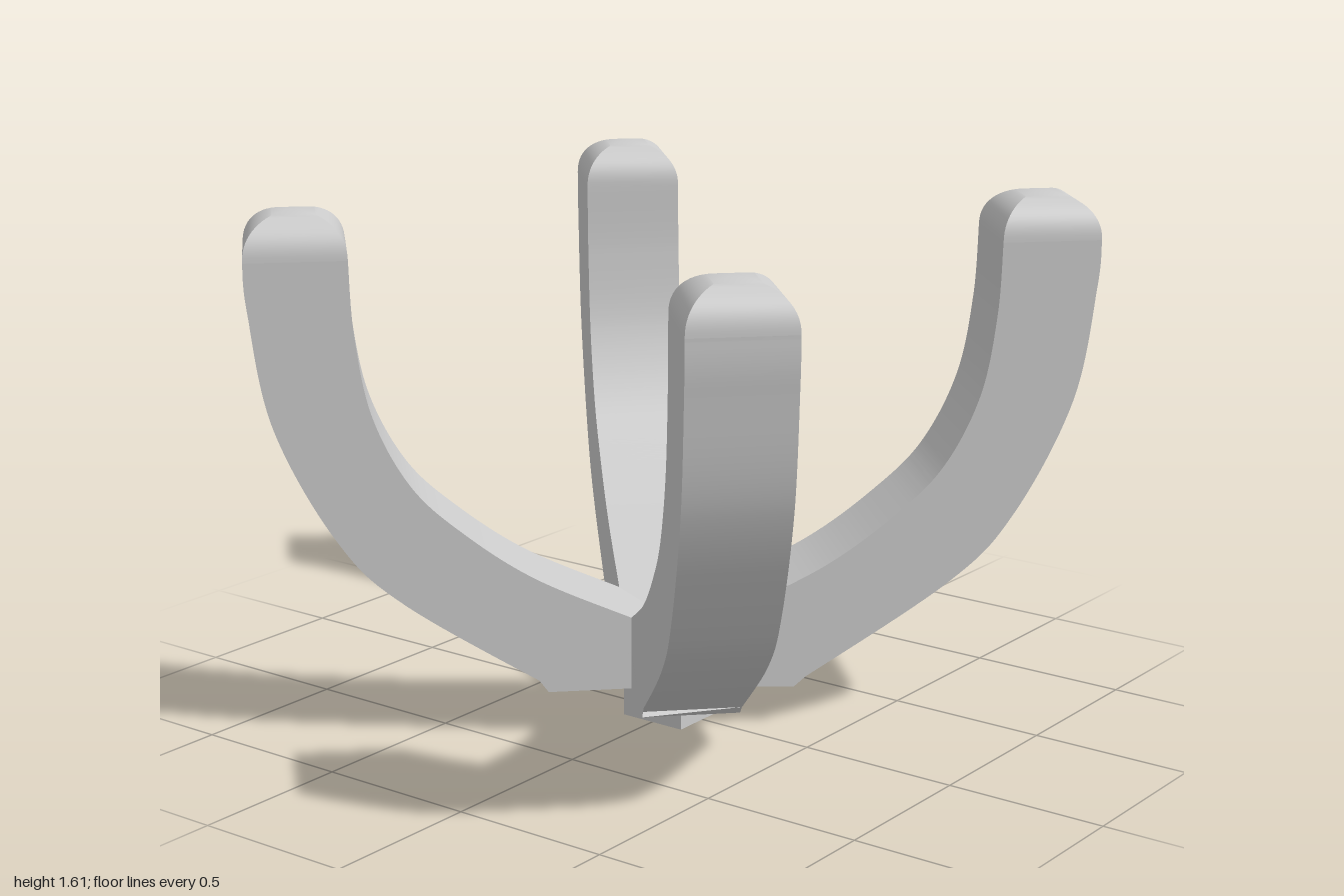
import * as THREE from 'three';
import { toCreasedNormals } from 'three/addons/utils/BufferGeometryUtils.js';

const WIDTH = 0.3;      // side of the square arm section
const REACH = 1.113;    // distance of a tip's axis from the centre
const SHOULDER = 1.48;  // height where the rounded tips begin

const vec = ([x, y]) => new THREE.Vector2(x, y);

// Side profile of one arm: distance from centre, height
function armGeometry(angle) {
  const shape = new THREE.Shape();
  shape.moveTo(0, 0.145);
  shape.lineTo(0.352, 0.13);
  shape.splineThru([[0.819, 0.43], [1.02, 0.64], [1.194, 0.99], [1.255, 1.34], [REACH + WIDTH / 2, SHOULDER]].map(vec));
  shape.lineTo(REACH - WIDTH / 2, SHOULDER);
  shape.splineThru([[0.952, 1.26], [0.907, 1.015], [0.8, 0.8], [0.649, 0.65], [0.437, 0.5], [0.15, 0.365], [0, 0.3]].map(vec));

  const geo = new THREE.ExtrudeGeometry(shape, { depth: WIDTH, bevelEnabled: false, curveSegments: 30 });
  geo.translate(0, 0, -WIDTH / 2);
  geo.rotateY(angle);

  // Slant the underside: lower toward the sides, higher toward front and back
  const p = geo.attributes.position;
  for (let i = 0; i < p.count; i++) {
    if (p.getY(i) > 0.15) continue;
    let x = p.getX(i), z = p.getZ(i);
    const ax = Math.abs(x), az = Math.abs(z);
    if (Math.hypot(x, z) > 0.3) {
      const shift = (ax > az ? -0.026 : 0.026) * Math.SQRT1_2;
      x += Math.sign(Math.cos(angle)) * shift;
      z -= Math.sign(Math.sin(angle)) * shift;
      p.setXYZ(i, x, 0, z);
    }
    p.setY(i, 0.145 - 0.08 * Math.abs(x) + 0.023 * Math.abs(z));
  }
  return toCreasedNormals(geo, 0.4);
}

// Four-sided rounded cap, its corners pointing along x and z
function tipGeometry() {
  const profile = [];
  const steps = 16;
  for (let i = 0; i <= steps; i++) {
    const a = (i / steps) * Math.PI / 2;
    const r = i === steps ? 0 : Math.pow(Math.cos(a), 0.9);
    profile.push(new THREE.Vector2(r * WIDTH * Math.SQRT1_2, 0.13 * Math.pow(Math.sin(a), 0.9)));
  }
  return toCreasedNormals(new THREE.LatheGeometry(profile, 4), 0.5);
}

export function createModel() {
  const model = new THREE.Group();
  model.name = 'fourArmCradle';
  const material = new THREE.MeshStandardMaterial({ color: 0xcccccc });
  const tipGeo = tipGeometry();

  // Four curved arms on the diagonals, each with its rounded tip
  for (let k = 0; k < 4; k++) {
    const angle = Math.PI / 4 + k * Math.PI / 2;
    const group = new THREE.Group();
    group.name = 'arm' + (k + 1);

    const arm = new THREE.Mesh(armGeometry(angle), material);
    arm.name = 'curvedArm';
    const tip = new THREE.Mesh(tipGeo, material);
    tip.name = 'roundedTip';
    tip.position.set(REACH * Math.cos(angle), SHOULDER, -REACH * Math.sin(angle));
    group.add(arm, tip);
    model.add(group);
  }

  // Small square foot under the crossing
  const foot = new THREE.Mesh(new THREE.BoxGeometry(0.22, 0.145, 0.22), material);
  foot.name = 'foot';
  foot.position.y = 0.0725;
  model.add(foot);

  return model;
}
